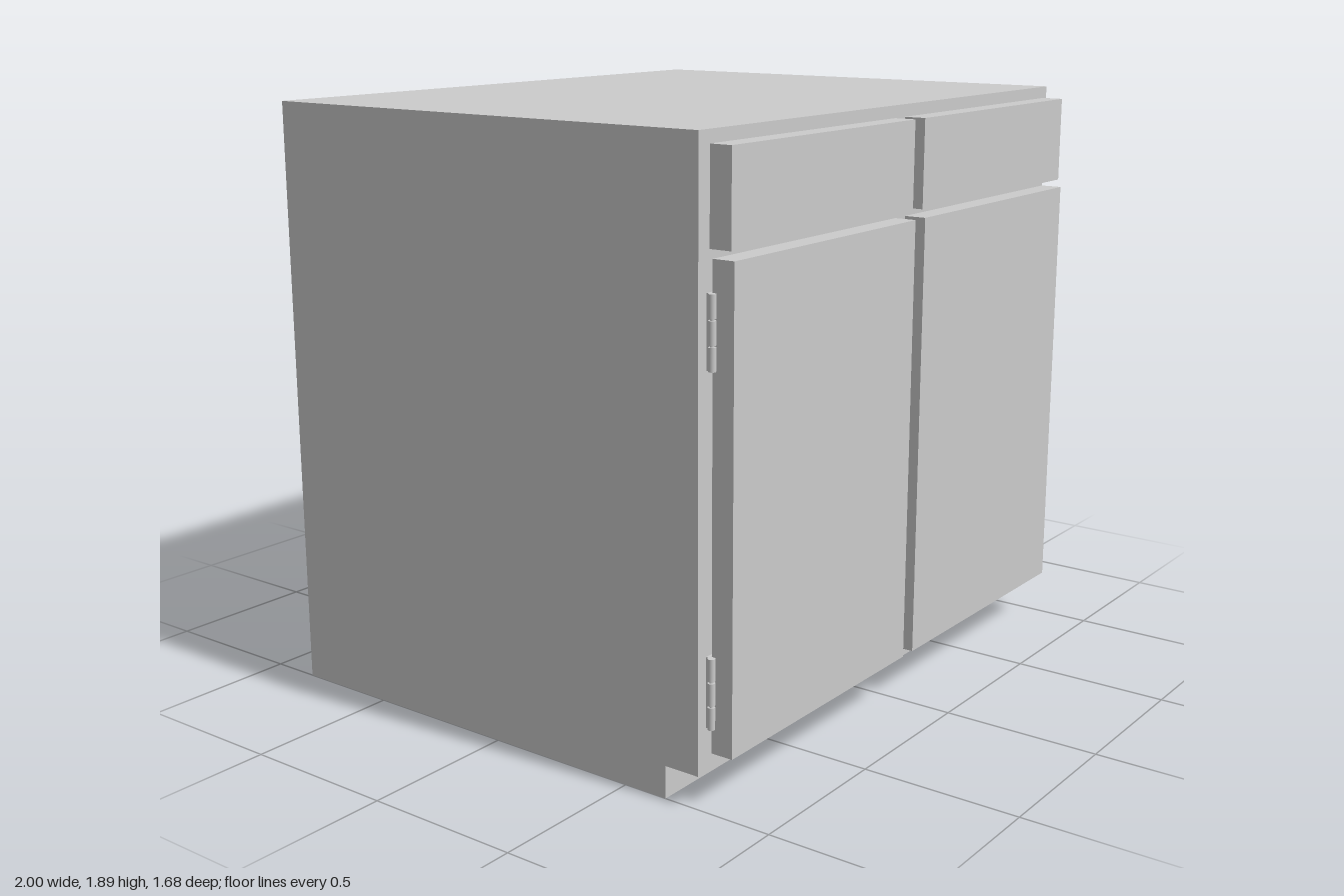
import * as THREE from 'three';

const material = new THREE.MeshStandardMaterial({ color: 0xcccccc });

// Box given by its minimum and maximum corners
function box(name, [x0, y0, z0], [x1, y1, z1]) {
  const mesh = new THREE.Mesh(new THREE.BoxGeometry(x1 - x0, y1 - y0, z1 - z0), material);
  mesh.name = name;
  mesh.position.set((x0 + x1) / 2, (y0 + y1) / 2, (z0 + z1) / 2);
  return mesh;
}

// Butt hinge: three knuckles on a pin, with a leaf tucked behind the door
function hinge(name, x, y, inward) {
  const group = new THREE.Group();
  group.name = name;
  const radius = 0.011, height = 0.21, gap = 0.005;
  const knuckleHeight = (height - 2 * gap) / 3;
  for (let i = -1; i <= 1; i++) {
    const knuckle = new THREE.Mesh(
      new THREE.CylinderGeometry(radius, radius, knuckleHeight, 20), material);
    knuckle.name = 'hingeKnuckle';
    knuckle.position.y = i * (knuckleHeight + gap);
    group.add(knuckle);
  }
  const pin = new THREE.Mesh(
    new THREE.CylinderGeometry(radius * 0.5, radius * 0.5, height, 12), material);
  pin.name = 'hingePin';
  const leaf = new THREE.Mesh(new THREE.BoxGeometry(0.07, height, 0.01), material);
  leaf.name = 'hingeLeaf';
  leaf.position.set(inward * 0.035, 0, -0.014);
  group.add(pin, leaf);
  group.position.set(x, y, 0.779);
  return group;
}

export function createModel() {
  const model = new THREE.Group();
  model.name = 'cabinet';

  // Carcass: side profile with a recessed toe kick, extruded across the width
  const profile = new THREE.Shape([
    [0.84, 0], [0.84, 1.893], [-0.76, 1.893], [-0.76, 0.1], [-0.645, 0.1], [-0.645, 0],
  ].map(([x, y]) => new THREE.Vector2(x, y)));
  const carcass = new THREE.Mesh(
    new THREE.ExtrudeGeometry(profile, { depth: 2, bevelEnabled: false })
      .rotateY(Math.PI / 2).translate(-1, 0, 0),
    material);
  carcass.name = 'carcass';
  model.add(carcass);

  // Drawer front, door and pair of hinges on each side
  const bays = [
    { side: 'right', x0: -0.95, x1: -0.015, hingeX: -0.964, inward: 1 },
    { side: 'left', x0: 0.043, x1: 0.978, hingeX: 0.989, inward: -1 },
  ];
  for (const { side, x0, x1, hingeX, inward } of bays) {
    model.add(box(`${side}DrawerFront`, [x0, 1.58, 0.76], [x1, 1.855, 0.83]));
    model.add(box(`${side}Door`, [x0, 0.155, 0.77], [x1, 1.555, 0.84]));
    model.add(hinge(`${side}LowerHinge`, hingeX, 0.34, inward));
    model.add(hinge(`${side}UpperHinge`, hingeX, 1.36, inward));
  }
  return model;
}
